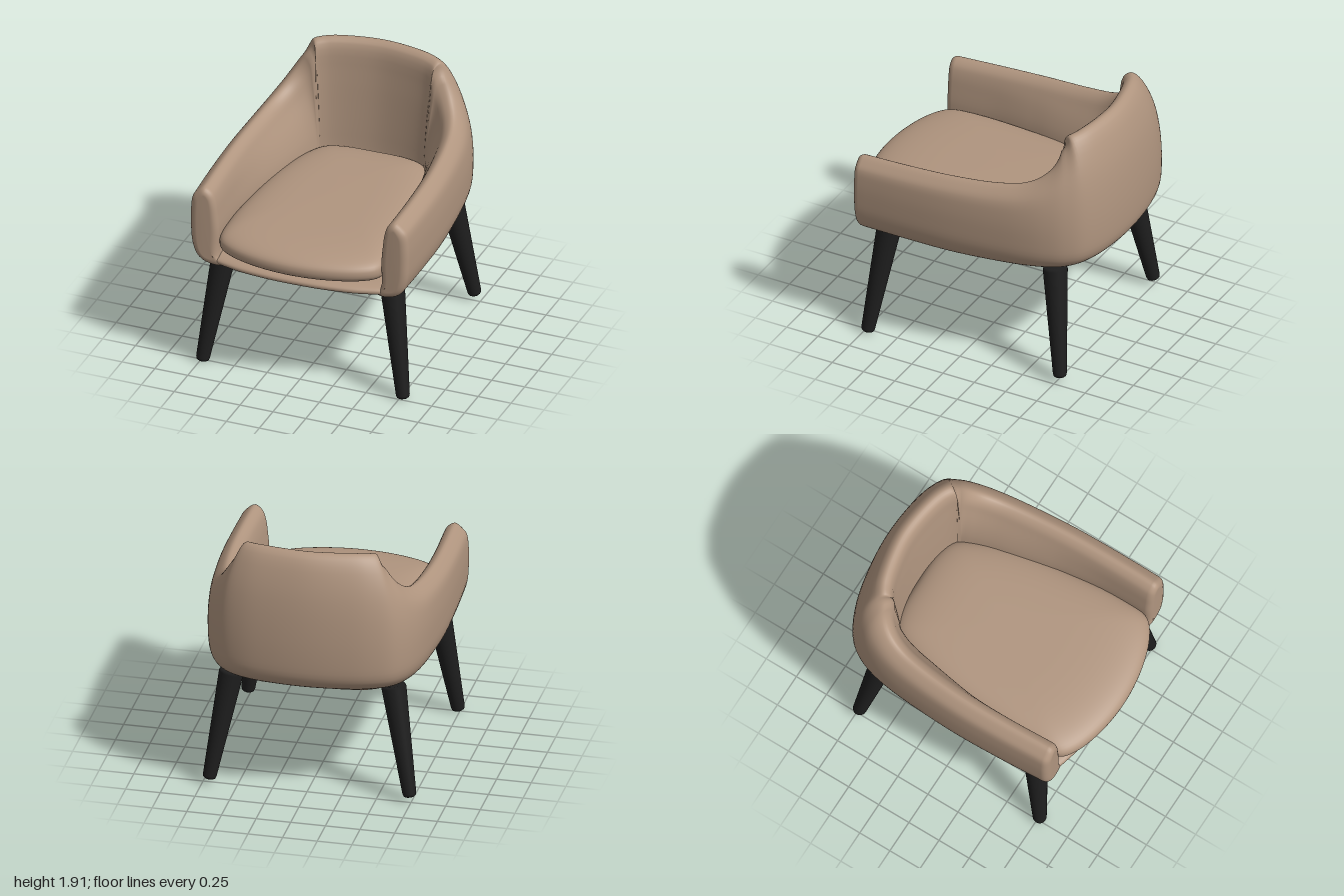
import * as THREE from 'three';

const V = (x, y, z) => new THREE.Vector3(x, y, z);
const lerp = THREE.MathUtils.lerp;

// Skin closed rings of points and close both ends with a fan
function loft(rings) {
  const n = rings[0].length, pos = [], idx = [];
  rings.forEach(r => r.forEach(p => pos.push(p.x, p.y, p.z)));
  for (let i = 0; i < rings.length - 1; i++) {
    for (let j = 0; j < n; j++) {
      const k = (j + 1) % n, a = i * n + j, b = i * n + k;
      idx.push(a, a + n, b, b, a + n, b + n);
    }
  }
  [0, rings.length - 1].forEach((ri, end) => {
    const c = V(0, 0, 0);
    rings[ri].forEach(p => c.addScaledVector(p, 1 / n));
    const ci = pos.length / 3;
    pos.push(c.x, c.y, c.z);
    for (let j = 0; j < n; j++) {
      const a = ri * n + j, b = ri * n + (j + 1) % n;
      if (end) idx.push(ci, b, a); else idx.push(ci, a, b);
    }
  });
  const g = new THREE.BufferGeometry();
  g.setAttribute('position', new THREE.Float32BufferAttribute(pos, 3));
  g.setIndex(idx);
  g.computeVertexNormals();
  return g;
}

// Pillow shape: half plan outline [x, z] from back to front, mirrored, with rounded rim
function pad(half, y, h, rim, rise) {
  const left = half.slice(1, -1).reverse().map(([x, z]) => [-x, z]);
  const curve = new THREE.CatmullRomCurve3([...half, ...left].map(([x, z]) => V(x, 0, z)), true, 'centripetal');
  const plan = curve.getPoints(96).slice(0, -1), rings = [];
  for (let i = 0; i <= 32; i++) {
    const a = lerp(-1.53, 1.53, i / 32);
    const s = Math.pow(Math.cos(a), rim);
    const py = y + h * Math.sign(a) * Math.pow(Math.abs(Math.sin(a)), rise);
    rings.push(plan.map(p => V(p.x * s, py, p.z * s)));
  }
  return loft(rings);
}

// Wrap-around shell: stations [x, z, top height, seat-level thickness, lean, underside rounding]
function shellGeometry() {
  const half = [
    [0.82, 0.79, 1.435, 0.21, 0.4, 1],
    [0.83, 0.45, 1.447, 0.22, 0.4, 1],
    [0.83, 0.1, 1.463, 0.26, 0.4, 1],
    [0.81, -0.25, 1.49, 0.31, 0.42, 1.1],
    [0.785, -0.48, 1.535, 0.33, 0.45, 1.2],
    [0.75, -0.64, 1.62, 0.34, 0.45, 1.3],
    [0.69, -0.78, 1.77, 0.34, 0.4, 1.4],
    [0.60, -0.88, 1.875, 0.34, 0.3, 1.5],
    [0.45, -0.945, 1.9, 0.32, 0.25, 1.5],
    [0.24, -0.985, 1.908, 0.3, 0.22, 1.5],
    [0, -1, 1.91, 0.29, 0.2, 1.5],
  ];
  const all = [...half, ...half.slice(0, -1).reverse().map(([x, ...r]) => [-x, ...r])];
  const path = new THREE.CatmullRomCurve3(all.map(s => V(s[0], s[2], s[1])));
  const shape = new THREE.CatmullRomCurve3(all.map(s => V(s[3], s[4], s[5])));

  const section = t => {
    const p = path.getPoint(t), q = shape.getPoint(t), tan = path.getTangent(t);
    const D = q.x, H = p.y, b = q.z, len = Math.hypot(tan.x, tan.z);
    const nx = tan.z / len, nz = -tan.x / len;
    const lean = y => q.y * Math.max(0, y - 1.2) ** 2;
    const L = lean(H), lift = 0.05 * (b - 1), inner = L + 0.155;
    const y1 = lerp(1.15, H, 0.4), y2 = lerp(1.15, H, 0.72);
    const pts = [
      [0.24, 0.83 + lift], [0.12 * b, 0.835 + lift], [0.05 * b, 0.885 + lift], [0.012 * b, 0.98],
      [0, 1.13], [lean(y1), y1], [lean(y2) + 0.005, y2], [L + 0.022, H - 0.04], [L + 0.08, H],
      [inner - 0.02, H - 0.035], [lerp(inner, D, 0.2), lerp(H, 1.1, 0.3)],
      [lerp(inner, D, 0.7), lerp(H, 1.1, 0.65)], [D, 1.1], [D, 0.9],
    ].map(([d, y]) => V(p.x + nx * d, y, p.z + nz * d));
    return new THREE.CatmullRomCurve3(pts, true, 'centripetal').getPoints(56).slice(0, -1);
  };
  // Rounded arm fronts: the end section is inset while it moves forward
  const cap = (ring, a) => {
    const c = V(0, 0, 0), inset = 0.055 * (1 - Math.cos(a));
    ring.forEach(p => c.addScaledVector(p, 1 / ring.length));
    return ring.map(p => V(
      lerp(p.x, c.x, inset / 0.105), lerp(p.y, c.y, inset / 0.3), p.z + 0.05 * Math.sin(a)));
  };
  const rings = [], N = 110;
  for (let i = 0; i <= N; i++) rings.push(section(i / N));
  const first = rings[0], last = rings[N];
  for (let i = 1; i <= 6; i++) {
    const a = i / 6 * Math.PI / 2;
    rings.unshift(cap(first, a));
    rings.push(cap(last, a));
  }
  return loft(rings);
}

// Tapered round leg from foot to top
function leg(foot, top, material) {
  const dir = top.clone().sub(foot), h = dir.length();
  const profile = [[0, 0], [0.034, 0], [0.044, 0.008], [0.049, 0.025], [0.088, h - 0.02], [0.08, h], [0, h]];
  const m = new THREE.Mesh(
    new THREE.LatheGeometry(profile.map(p => new THREE.Vector2(...p)), 28), material);
  m.position.copy(foot);
  m.quaternion.setFromUnitVectors(V(0, 1, 0), dir.normalize());
  return m;
}

export function createModel() {
  const fabric = new THREE.MeshStandardMaterial({ color: 0xb0957f });
  fabric.name = 'beige upholstery';
  const black = new THREE.MeshStandardMaterial({ color: 0x1e1e1e });
  black.name = 'black wood';

  const model = new THREE.Group();
  model.name = 'armchair';
  const chair = new THREE.Group();
  chair.name = 'chair';
  chair.rotation.y = 0.025;
  model.add(chair);
  const add = (name, geometry, material) => {
    const m = new THREE.Mesh(geometry, material);
    m.name = name;
    chair.add(m);
  };

  add('backAndArms', shellGeometry(), fabric);

  // Seat base with a lip that shows under the cushion
  add('seatBase', pad([[0, -0.8], [0.48, -0.74], [0.62, -0.5], [0.69, 0], [0.7, 0.5],
    [0.7, 0.77], [0.5, 0.86], [0.25, 0.9], [0, 0.91]], 0.865, 0.043, 0.12, 0.9), fabric);

  add('seatCushion', pad([[0, -0.71], [0.25, -0.7], [0.38, -0.65], [0.48, -0.48], [0.56, -0.2],
    [0.61, 0.2], [0.63, 0.6], [0.6, 0.81], [0.5, 0.895], [0.28, 0.97], [0, 1]],
  1.015, 0.132, 0.45, 0.8), fabric);

  // Dark cover below the seat
  add('undersidePanel', pad([[0, -0.68], [0.5, -0.67], [0.59, -0.6], [0.62, -0.4], [0.65, 0],
    [0.66, 0.5], [0.63, 0.68], [0.5, 0.76], [0, 0.8]], 0.835, 0.02, 0.08, 1), black);

  // Splayed legs
  for (const side of [-1, 1]) {
    const front = leg(V(side * 0.755, 0.005, 0.745), V(side * 0.63, 0.85, 0.635), black);
    front.name = side > 0 ? 'leftFrontLeg' : 'rightFrontLeg';
    const back = leg(V(side * 0.72, 0.04, -0.755), V(side * 0.58, 0.85, -0.645), black);
    back.name = side > 0 ? 'leftBackLeg' : 'rightBackLeg';
    chair.add(front, back);
  }
  return model;
}
